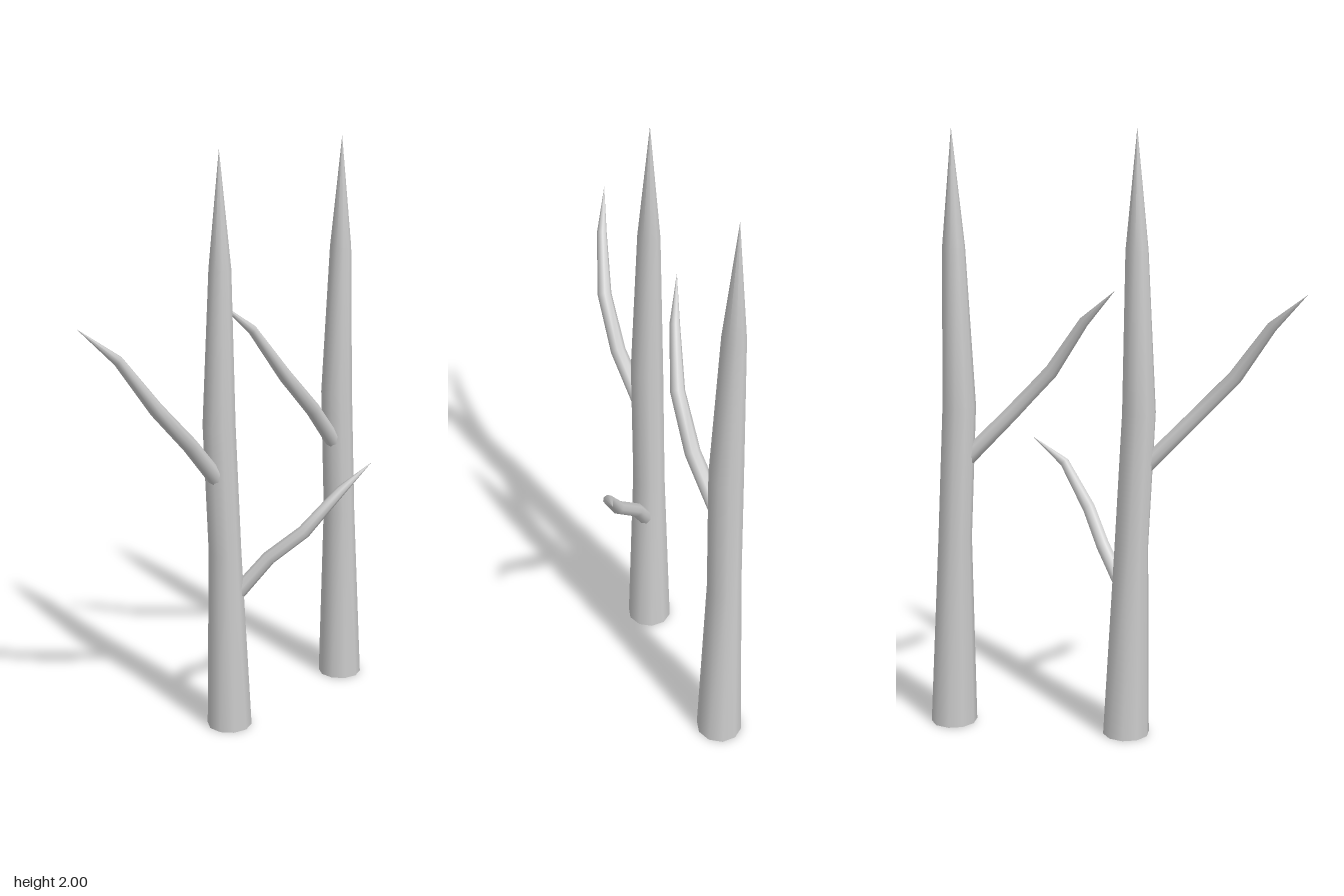
import * as THREE from 'three';

const material = new THREE.MeshStandardMaterial({ color: 0xcccccc });

// Tapered limb through rows of [x, y, z, radius], ending in a point, with a flat base cap
function limb(name, rows, sides, level) {
  const pts = rows.map(r => new THREE.Vector3(r[0], r[1], r[2]));
  const pos = [], index = [];
  const ring = i => {
    const t = level ? new THREE.Vector3(0, 1, 0)
      : pts[Math.min(i + 1, pts.length - 1)].clone().sub(pts[Math.max(i - 1, 0)]).normalize();
    const u = new THREE.Vector3(1, 0, 0);
    u.addScaledVector(t, -u.dot(t)).normalize();
    const w = t.clone().cross(u);
    for (let j = 0; j < sides; j++) {
      const a = (j + 0.5) / sides * Math.PI * 2;
      const p = pts[i].clone()
        .addScaledVector(u, Math.cos(a) * rows[i][3])
        .addScaledVector(w, Math.sin(a) * rows[i][3]);
      pos.push(p.x, p.y, p.z);
    }
  };
  rows.forEach((_, i) => ring(i));
  for (let i = 0; i < rows.length - 1; i++) {
    for (let j = 0; j < sides; j++) {
      const a = i * sides + j, b = i * sides + (j + 1) % sides;
      index.push(a, b, b + sides);
      if (rows[i + 1][3] > 0) index.push(a, b + sides, a + sides);
      else index[index.length - 1] = a + sides;
    }
  }
  // base cap with its own vertices, so its edge stays sharp
  const cap = rows.length * sides;
  ring(0);
  for (let j = 1; j < sides - 1; j++) index.push(cap, cap + j + 1, cap + j);

  const geo = new THREE.BufferGeometry();
  geo.setAttribute('position', new THREE.Float32BufferAttribute(pos, 3));
  geo.setIndex(index);
  geo.computeVertexNormals();
  const mesh = new THREE.Mesh(geo, material);
  mesh.name = name;
  return mesh;
}

// Trunk with one high side branch
function makeTree(name) {
  const tree = new THREE.Group();
  tree.name = name;
  tree.add(limb('trunk', [
    [-0.05, 0, -0.115, 0.078],
    [-0.067, 0.65, -0.115, 0.056],
    [-0.091, 1.1, -0.115, 0.055],
    [-0.083, 1.62, -0.113, 0.037],
    [-0.083, 2, -0.113, 0],
  ], 10, true));
  tree.add(limb('highBranch', [
    [-0.1, 0.91, -0.113, 0.028],
    [-0.26, 1.075, -0.086, 0.026],
    [-0.397, 1.22, -0.097, 0.024],
    [-0.513, 1.39, -0.14, 0.017],
    [-0.625, 1.5, -0.2, 0],
  ], 8, false));
  return tree;
}

export function createModel() {
  const model = new THREE.Group();
  model.name = 'bareTrees';

  const rightTree = makeTree('rightTree');
  // low branch reaching forward, on this tree only
  rightTree.add(limb('lowBranch', [
    [-0.033, 0.5, -0.085, 0.026],
    [0.045, 0.62, -0.015, 0.024],
    [0.11, 0.72, 0.085, 0.023],
    [0.21, 0.86, 0.163, 0.017],
    [0.33, 0.94, 0.2, 0],
  ], 8, false));

  const leftTree = makeTree('leftTree');
  leftTree.position.set(0.6, 0, 0.015);

  model.add(rightTree, leftTree);
  return model;
}
